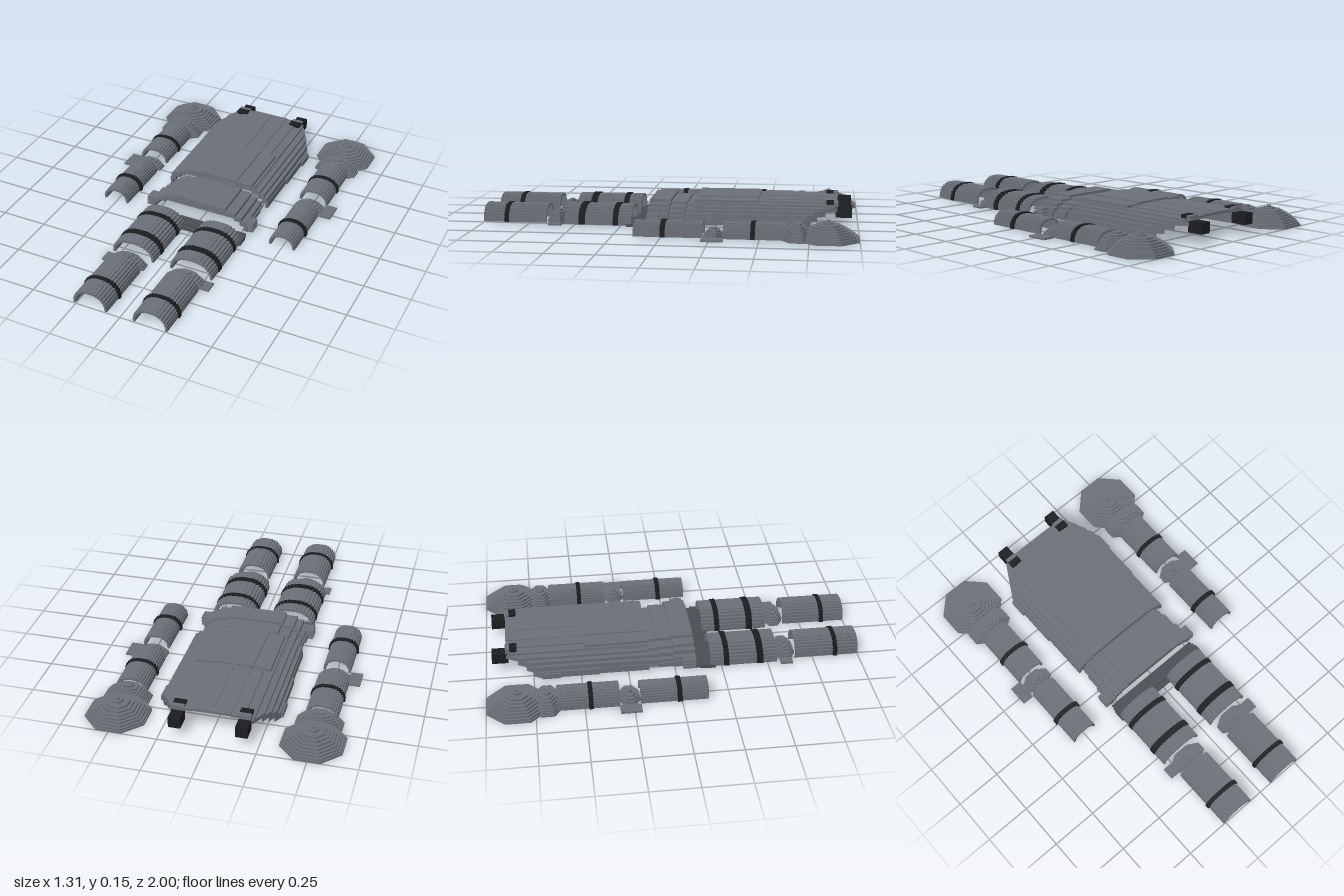
import * as THREE from 'three';

const grey = new THREE.MeshStandardMaterial({ color: 0x6b7078 });
grey.name = 'armourGrey';
const black = new THREE.MeshStandardMaterial({ color: 0x1c1d1f });
black.name = 'strapBlack';
const dark = new THREE.MeshStandardMaterial({ color: 0x4a4d52 });
dark.name = 'beltGrey';

function add(parent, name, geometry, material) {
  const mesh = new THREE.Mesh(geometry, material);
  mesh.name = name;
  parent.add(mesh);
  return mesh;
}

// Box given by its limits on each axis
function box(parent, name, [x0, x1], [y0, y1], [z0, z1], material = grey) {
  const m = add(parent, name, new THREE.BoxGeometry(x1 - x0, y1 - y0, z1 - z0), material);
  m.position.set((x0 + x1) / 2, (y0 + y1) / 2, (z0 + z1) / 2);
  return m;
}

// Quarter staircase following an ellipse, from the base to the crown
function stairs(r, h, base, n = 8) {
  const pts = [];
  for (let i = 0; i < n; i++) {
    const a = (i / n) * Math.PI / 2, b = ((i + 1) / n) * Math.PI / 2;
    const y = base + (h - base) * Math.sin(b);
    pts.push([r * Math.cos(a), i ? base + (h - base) * Math.sin(a) : base]);
    pts.push([r * Math.cos(a), y]);
  }
  return pts;
}

// Half tube with a stepped section, running along z
function arch(parent, name, x, r, h, z0, z1, material = grey, t = 0.012) {
  const mirror = (p) => p.map(([px, py]) => [-px, py]).reverse();
  const outer = stairs(r, h, 0.006), inner = stairs(r - t, h - t, 0.006);
  const loop = [...outer, ...mirror(outer), ...inner.map(([px, py]) => [-px, py]), ...mirror(inner).map(([px, py]) => [-px, py])];
  const shape = new THREE.Shape(loop.map(([px, py]) => new THREE.Vector2(px, py)));
  const geo = new THREE.ExtrudeGeometry(shape, { depth: z1 - z0, bevelEnabled: false });
  add(parent, name, geo, material).position.set(x, 0, z0);
}

// Stacked octagonal layers
function dome(parent, name, x, z, rx, rz, radii, step) {
  const g = new THREE.Group();
  g.name = name;
  g.position.set(x, 0, z);
  radii.forEach((f, i) => {
    const geo = new THREE.CylinderGeometry(1, 1, step, 8).toNonIndexed();
    geo.rotateY(Math.PI / 8);
    const k = f / Math.cos(Math.PI / 8);
    geo.scale(rx * k, 1, rz * k);
    geo.computeVertexNormals();
    add(g, name + 'Layer', geo, grey).position.y = (i + 0.5) * step;
  });
  parent.add(g);
}

function arm(s) {
  const g = new THREE.Group();
  g.name = s > 0 ? 'leftArm' : 'rightArm';
  const x = 0.5 * s;
  dome(g, 'shoulderCap', x, -0.842, 0.156, 0.158, [1, 0.95, 0.87, 0.79, 0.7, 0.61, 0.5, 0.38, 0.17, 0.06], 0.01);
  dome(g, 'upperArmCap', x, -0.69, 0.12, 0.082, [1, 0.94, 0.87, 0.79, 0.7, 0.59, 0.46, 0.25], 0.01);
  arch(g, 'upperArm', x, 0.083, 0.08, -0.64, -0.32);
  arch(g, 'upperArmStrap', x, 0.09, 0.085, -0.48, -0.457, black);
  dome(g, 'elbowCap', x, -0.268, 0.08, 0.055, [1, 0.9, 0.75, 0.55, 0.25], 0.01);
  box(g, 'elbowFin', [x + s * 0.108 - 0.032, x + s * 0.108 + 0.032], [0, 0.01], [-0.322, -0.212]);
  arch(g, 'forearm', x, 0.073, 0.078, -0.215, 0.138);
  arch(g, 'wristStrap', x, 0.082, 0.084, -0.025, 0, black);
  return g;
}

function leg(s) {
  const g = new THREE.Group();
  g.name = s > 0 ? 'leftLeg' : 'rightLeg';
  const x = 0.168 * s;
  arch(g, 'thigh', x, 0.12, 0.1, 0.19, 0.55);
  arch(g, 'upperThighStrap', x, 0.124, 0.105, 0.262, 0.29, black);
  arch(g, 'lowerThighStrap', x, 0.124, 0.105, 0.44, 0.475, black);
  dome(g, 'kneeCap', x, 0.604, 0.1, 0.056, [1, 0.93, 0.83, 0.7, 0.52, 0.28], 0.011);
  box(g, 'kneeFin', [x + s * 0.114 - 0.026, x + s * 0.114 + 0.026], [0, 0.01], [0.57, 0.635]);
  arch(g, 'shin', x, 0.095, 0.095, 0.655, 1);
  arch(g, 'ankleStrap', x, 0.103, 0.099, 0.862, 0.885, black);
  return g;
}

// Chest slat with its back end cut along the shoulder line
function slat(parent, s, [x0, x1], [y0, y1], zEnd) {
  const back = (x) => -0.89 + Math.max(0, Math.min(x, 0.315) - 0.205) * 1.75;
  const pts = [[x0, -back(x0)], [x0, -zEnd], [x1, -zEnd], [x1, -back(x1)]];
  const shape = new THREE.Shape(pts.map(([x, y]) => new THREE.Vector2(s * x, y)));
  const geo = new THREE.ExtrudeGeometry(shape, { depth: y1 - y0, bevelEnabled: false });
  geo.rotateX(-Math.PI / 2);
  add(parent, 'chestSlat', geo, grey).position.y = y0;
}

function torso() {
  const g = new THREE.Group();
  g.name = 'torso';
  for (const s of [1, -1]) {
    const side = (a, b) => (s > 0 ? [a, b] : [-b, -a]);
    // Chest shell, from the middle out to the flank
    slat(g, s, [0, 0.1], [0.12, 0.135], -0.14);
    slat(g, s, [0.1, 0.165], [0.116, 0.131], -0.14);
    slat(g, s, [0.16, 0.215], [0.104, 0.124], -0.14);
    slat(g, s, [0.205, 0.25], [0.09, 0.112], -0.14);
    slat(g, s, [0.24, 0.275], [0.068, 0.098], -0.14);
    slat(g, s, [0.265, 0.295], [0.045, 0.08], -0.14);
    slat(g, s, [0.285, 0.308], [0.02, 0.055], -0.4);
    box(g, 'flankRib', side(0.285, 0.3), [0.02, 0.055], [-0.42, -0.14]);
    box(g, 'shoulderRib', side(0.3, 0.318), [0.02, 0.048], [-0.705, -0.61]);
    // Abdomen bands, each stepping down to the side
    [[-0.145, -0.085, 0.106, 0], [-0.09, 0, 0.116, 0.008], [-0.005, 0.11, 0.129, 0.016]].forEach(([z0, z1, top, w]) => {
      const xs = [0, 0.14, 0.2, 0.235, 0.262];
      const drop = [0, 0.016, 0.034, 0.056];
      drop.forEach((d, i) => {
        const a = i ? xs[i] + w - 0.008 : 0;
        box(g, 'abdomenPlate', side(a, xs[i + 1] + w), [Math.min(0.085, top - d - 0.026), top - d], [z0, z1]);
      });
      box(g, 'waistPlate', side(0.25 + w, 0.272 + w), [0.02, top - 0.075], [z0, z1]);
    });
    for (const y of [0.022, 0.042, 0.06]) box(g, 'waistFin', side(0.27, 0.317), [y, y + 0.01], [0.04, 0.108]);
    // Neck clips
    box(g, 'clipBlock', side(0.138, 0.2), [0.058, 0.115], [-0.965, -0.88], black);
    box(g, 'clipPad', side(0.138, 0.2), [0.115, 0.141], [-0.87, -0.832], black);
    box(g, 'clipBridge', side(0.138, 0.2), [0.115, 0.14], [-0.893, -0.87]);
  }
  // Raised breastplate and spine ridge
  box(g, 'breastplate', [-0.2, 0.2], [0.122, 0.139], [-0.475, -0.138]);
  box(g, 'breastplateTop', [-0.11, 0.11], [0.139, 0.146], [-0.475, -0.138]);
  box(g, 'breastplateLower', [-0.222, 0.222], [0.104, 0.116], [-0.475, -0.138]);
  box(g, 'centreRidge', [-0.008, 0.008], [0.134, 0.139], [-0.85, -0.475]);
  return g;
}

function belt() {
  const g = new THREE.Group();
  g.name = 'belt';
  [[0.115, 0.14, 0.285, 0.012], [0.135, 0.158, 0.29, 0.016], [0.155, 0.192, 0.295, 0.02], [0.188, 0.218, 0.295, 0.014]].forEach(([z0, z1, w, h]) =>
    box(g, 'beltBand', [-w, w], [0, h], [z0, z1], dark));
  return g;
}

export function createModel() {
  const model = new THREE.Group();
  model.name = 'armourSet';
  model.add(torso(), belt());
  for (const s of [1, -1]) model.add(arm(s), leg(s));
  return model;
}
